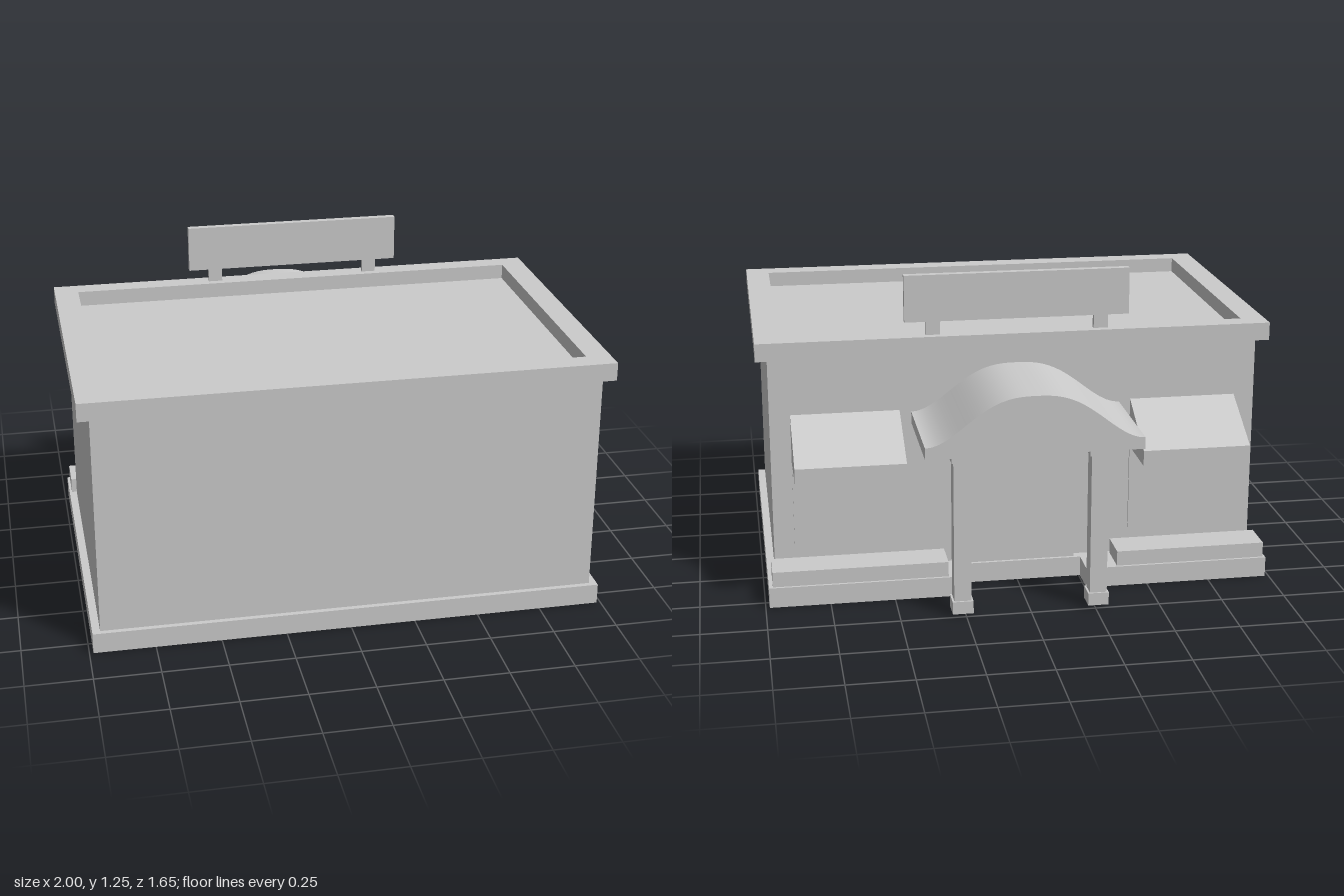
import * as THREE from 'three';

const material = new THREE.MeshStandardMaterial({ color: 0xcccccc, flatShading: true });
const smoothMaterial = new THREE.MeshStandardMaterial({ color: 0xcccccc });

// Box given by its lower and upper limits on each axis
function box(parent, name, x0, x1, y0, y1, z0, z1) {
  const mesh = new THREE.Mesh(new THREE.BoxGeometry(x1 - x0, y1 - y0, z1 - z0), material);
  mesh.position.set((x0 + x1) / 2, (y0 + y1) / 2, (z0 + z1) / 2);
  mesh.name = name;
  parent.add(mesh);
  return mesh;
}

function outline(points, Type = THREE.Shape) {
  return new Type(points.map(([x, y]) => new THREE.Vector2(x, y)));
}

// Flat slab from a plan of [x, -z] corners
function slab(parent, name, shape, y0, y1) {
  const geometry = new THREE.ExtrudeGeometry(shape, { depth: y1 - y0, bevelEnabled: false });
  geometry.rotateX(-Math.PI / 2).translate(0, y0, 0);
  const mesh = new THREE.Mesh(geometry, material);
  mesh.name = name;
  parent.add(mesh);
}

// Wedge awning, side profile extruded along x
function awning(parent, x0, x1) {
  const profile = outline([[0.38, 0.525], [0.63, 0.525], [0.63, 0.585], [0.38, 0.722]]);
  const geometry = new THREE.ExtrudeGeometry(profile, { depth: x1 - x0, bevelEnabled: false });
  geometry.rotateY(Math.PI / 2).translate(x0, 0, 0); // profile x becomes -z
  const mesh = new THREE.Mesh(geometry, material);
  mesh.name = 'awning';
  parent.add(mesh);
}

// Bell-curved porch roof: smooth curved top over a flat-bottomed body
function porchRoof(parent) {
  const half = 0.41, zBack = -0.38, zFront = -0.83, steps = 32;
  const rise = (x) => 0.71 + 0.09 * (1 + Math.cos(Math.PI * Math.pow(Math.abs(x) / half, 1.35)));
  const curve = [];
  for (let i = 0; i <= steps; i++) {
    const x = half - (2 * half * i) / steps;
    curve.push([x, rise(x)]);
  }
  const shape = outline([[-half, 0.665], [half, 0.665], ...curve]);
  const geometry = new THREE.ExtrudeGeometry(shape, { depth: zBack - zFront, bevelEnabled: false });
  geometry.translate(0, 0, zFront);
  // Smooth the curved top only
  const pos = geometry.attributes.position, normal = geometry.attributes.normal;
  for (let i = 0; i < pos.count; i++) {
    if (Math.abs(normal.getZ(i)) > 0.5 || normal.getY(i) < 0.2) continue;
    const x = pos.getX(i), e = 0.004;
    const a = Math.max(-half, x - e), b = Math.min(half, x + e);
    const n = new THREE.Vector3(-(rise(b) - rise(a)) / (b - a), 1, 0).normalize();
    normal.setXYZ(i, n.x, n.y, n.z);
  }
  const mesh = new THREE.Mesh(geometry, smoothMaterial);
  mesh.name = 'porchRoof';
  parent.add(mesh);
}

export function createModel() {
  const shop = new THREE.Group();
  shop.name = 'shop';

  // Foundation with an entrance notch
  slab(shop, 'foundation', outline([
    [-0.985, -0.82], [0.985, -0.82], [0.985, 0.55], [0.255, 0.55],
    [0.255, 0.425], [-0.255, 0.425], [-0.255, 0.55], [-0.985, 0.55],
  ]), 0, 0.08);

  // Walls, whose top is the sunken roof
  box(shop, 'walls', -0.955, 0.955, 0.08, 0.955, -0.385, 0.8);

  // Parapet ring
  const ring = outline([[-1, -0.825], [1, -0.825], [1, 0.42], [-1, 0.42]]);
  ring.holes.push(outline([[-0.905, -0.74], [-0.905, 0.34], [0.905, 0.34], [0.905, -0.74]], THREE.Path));
  slab(shop, 'parapet', ring, 0.945, 1.015);

  // Entrance
  box(shop, 'door', -0.23, 0.23, 0.08, 0.52, -0.413, -0.38);
  porchRoof(shop);

  // Steps in front of the windows
  box(shop, 'windowStep', 0.29, 0.97, 0.08, 0.14, -0.54, -0.4);
  box(shop, 'windowStep', -0.975, -0.38, 0.08, 0.14, -0.54, -0.4);

  for (const side of [-1, 1]) {
    // Window and its awning
    const w = side * 0.665;
    box(shop, 'window', w - 0.21, w + 0.21, 0.18, 0.51, -0.393, -0.38);
    awning(shop, w - 0.21, w + 0.21);

    // Porch column
    const column = new THREE.Group();
    column.name = 'porchColumn';
    const c = side * 0.262;
    box(column, 'columnFoot', c - 0.04, c + 0.04, 0.01, 0.06, -0.745, -0.665);
    box(column, 'columnShaft', c - 0.033, c + 0.033, 0.06, 0.615, -0.738, -0.672);
    box(column, 'columnCapital', c - 0.04, c + 0.04, 0.615, 0.665, -0.745, -0.665);
    shop.add(column);

    // Sign post
    const p = -0.004 + side * 0.327;
    box(shop, 'signPost', p - 0.028, p + 0.028, 1.0, 1.07, -0.39, -0.37);
  }

  // Blank rooftop sign board
  box(shop, 'signBoard', -0.44, 0.432, 1.068, 1.25, -0.394, -0.366);

  return shop;
}
